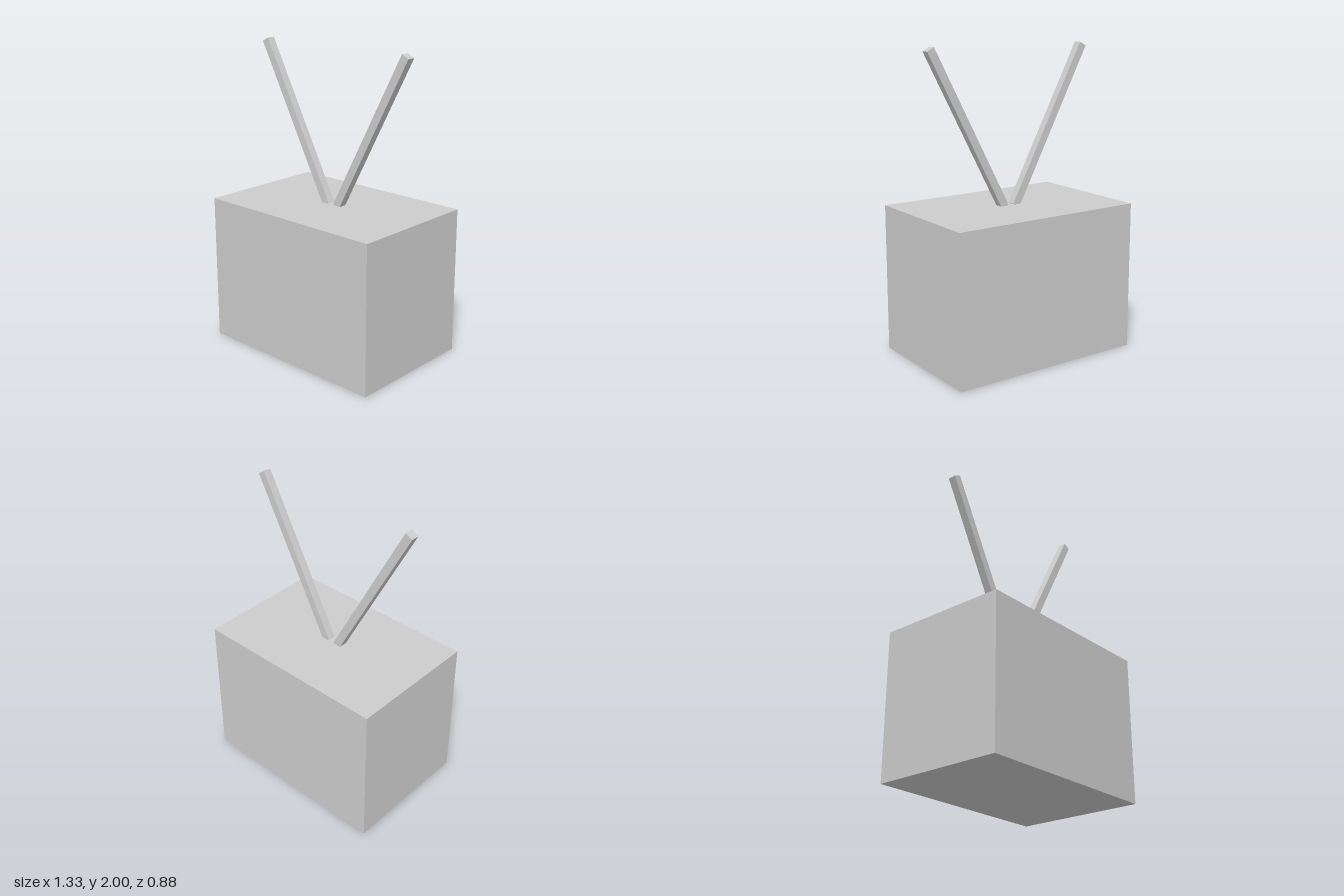
import * as THREE from 'three';

export function createModel() {
  const model = new THREE.Group();
  const grey = new THREE.MeshStandardMaterial({ color: 0xcccccc });
  grey.name = 'light grey';

  // Box-shaped cabinet standing on the ground
  const cabinet = new THREE.Mesh(new THREE.BoxGeometry(1.326, 0.975, 0.884), grey);
  cabinet.name = 'cabinet';
  cabinet.position.y = 0.4875;
  model.add(cabinet);

  // Two square rods spread in a V, their feet sunk slightly into the cabinet top
  const foot = new THREE.Vector2(0.043, 0.968);
  const tip = new THREE.Vector2(0.582, 1.987);
  const span = tip.clone().sub(foot);
  const rodGeometry = new THREE.BoxGeometry(0.054, span.length(), 0.054);
  for (const side of [1, -1]) {
    const rod = new THREE.Mesh(rodGeometry, grey);
    rod.name = side > 0 ? 'leftAntenna' : 'rightAntenna';
    rod.position.set(side * (foot.x + tip.x) / 2, (foot.y + tip.y) / 2, 0);
    rod.rotation.z = -side * Math.atan2(span.x, span.y);
    model.add(rod);
  }

  return model;
}
